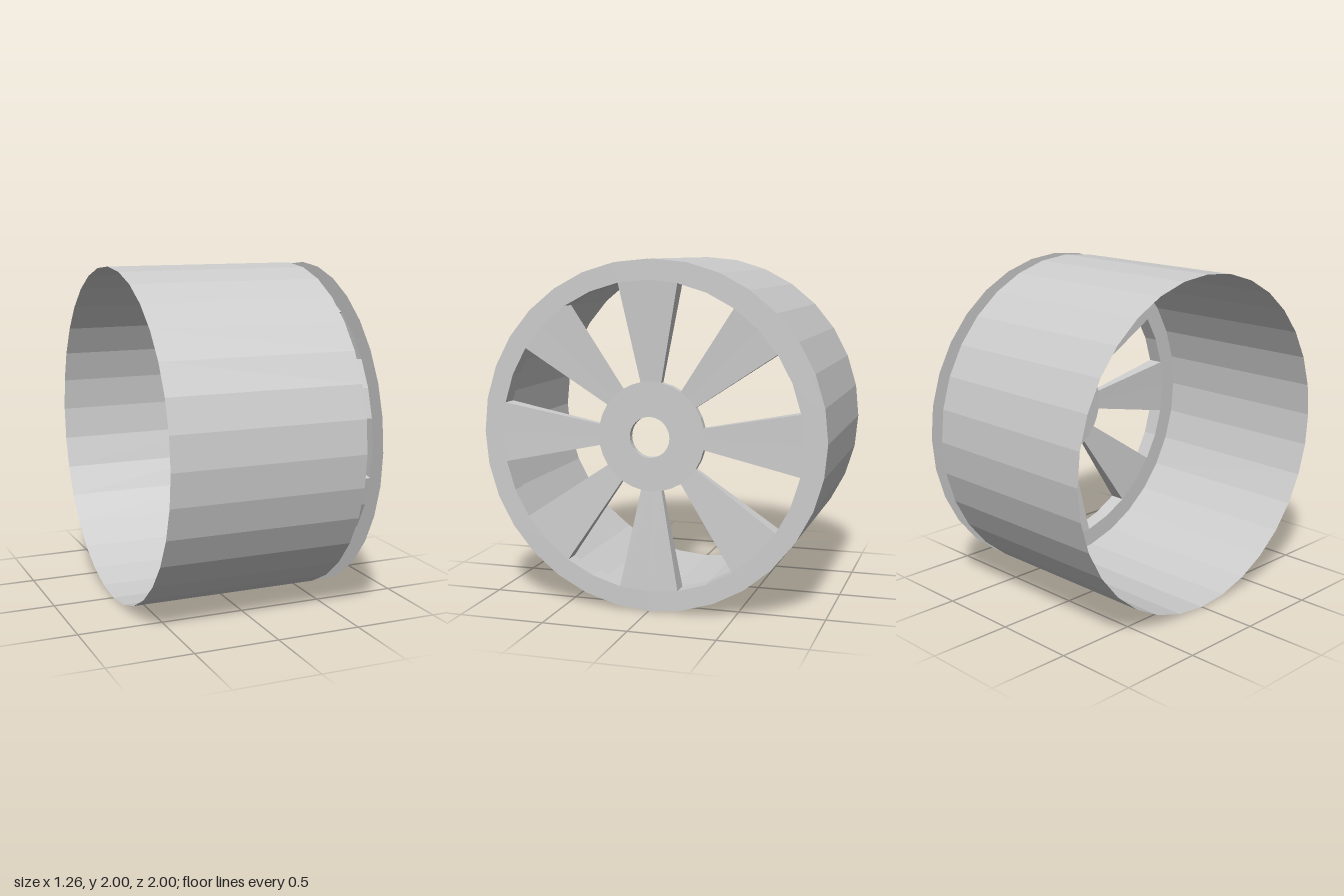
import * as THREE from 'three';

const SIDES = 32;
const paint = new THREE.MeshStandardMaterial({ color: 0xcccccc, side: THREE.DoubleSide, flatShading: true });
paint.name = 'light grey';

// Rings of the wheel face: radius, half thickness, and centre offset
const MID = 0.58;
const RIM = { r: 1, h: 0.05, y: 1, z: 0 };
const FELLOE = { r: 0.885, h: 0.05, y: 1, z: 0 };
const HUB = { r: 0.313, h: 0.02, y: 1.007, z: -0.009 };
const BORE = { r: 0.117, h: 0.02, y: 1.003, z: 0 };

// Point on a ring at step i; side is +1 for the outer plate, -1 for the inner one
function point(ring, i, side) {
  const a = (i / SIDES) * Math.PI * 2;
  return [MID + side * ring.h, ring.y + ring.r * Math.cos(a), ring.z + ring.r * Math.sin(a)];
}

// Mesh from a list of four-cornered faces
function quadMesh(name, quads) {
  const pos = quads.flatMap(([a, b, c, d]) => [a, b, c, a, c, d].flat());
  const geo = new THREE.BufferGeometry();
  geo.setAttribute('position', new THREE.Float32BufferAttribute(pos, 3));
  geo.computeVertexNormals();
  const mesh = new THREE.Mesh(geo, paint);
  mesh.name = name;
  return mesh;
}

// Flat or conical patch between two rings over one step
function patch(outer, inner, i, side) {
  const q = [point(outer, i, side), point(outer, i + 1, side), point(inner, i + 1, side), point(inner, i, side)];
  return side > 0 ? q : q.reverse();
}

// Wall across the thickness at a ring over one step
function wall(ring, i, outward) {
  const q = [point(ring, i, -1), point(ring, i + 1, -1), point(ring, i + 1, 1), point(ring, i, 1)];
  return outward ? q : q.reverse();
}

// Side of a window, running from felloe to hub
function cheek(i, flip) {
  const q = [point(FELLOE, i, -1), point(FELLOE, i, 1), point(HUB, i, 1), point(HUB, i, -1)];
  return flip ? q.reverse() : q;
}

export function createModel() {
  const group = new THREE.Group();
  group.name = 'wheel';

  // Open barrel
  const barrelGeo = new THREE.CylinderGeometry(1, 1, 1.16, SIDES, 1, true);
  barrelGeo.rotateZ(Math.PI / 2);
  barrelGeo.translate(-0.05, 1, 0);
  const barrel = new THREE.Mesh(barrelGeo, paint);
  barrel.name = 'barrel';
  group.add(barrel);

  // Two plates with eight spokes, joined by the window walls and the bore
  const rim = [], spokes = [], hub = [], windows = [], bore = [];
  for (let i = 0; i < SIDES; i++) {
    const step = i % 4;
    const open = step === 1 || step === 2;
    for (const side of [1, -1]) {
      rim.push(patch(RIM, FELLOE, i, side));
      hub.push(patch(HUB, BORE, i, side));
      if (!open) spokes.push(patch(FELLOE, HUB, i, side));
    }
    if (open) windows.push(wall(FELLOE, i, false), wall(HUB, i, true));
    if (step === 1) windows.push(cheek(i, false));
    if (step === 3) windows.push(cheek(i, true));
    bore.push(wall(BORE, i, false));
  }
  group.add(
    quadMesh('rimPlates', rim),
    quadMesh('spokes', spokes),
    quadMesh('hub', hub),
    quadMesh('windowWalls', windows),
    quadMesh('axleBore', bore)
  );
  return group;
}
